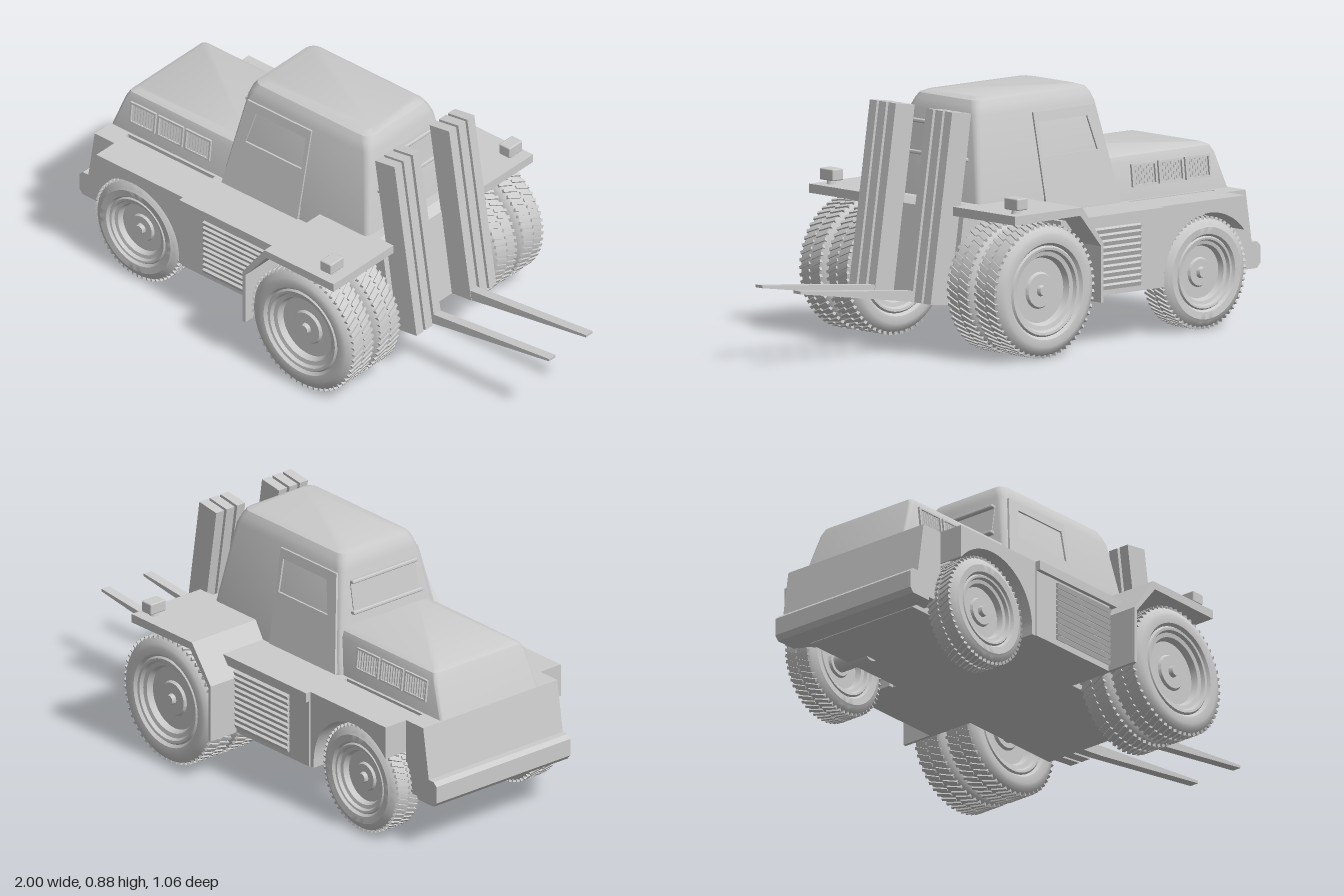
import * as THREE from 'three';
import { mergeGeometries, toCreasedNormals } from 'three/addons/utils/BufferGeometryUtils.js';
import { RoundedBoxGeometry } from 'three/addons/geometries/RoundedBoxGeometry.js';

const grey = new THREE.MeshStandardMaterial({ color: 0xcccccc, side: THREE.DoubleSide });

function mesh(name, geometry, parent) {
  const m = new THREE.Mesh(geometry, grey);
  m.name = name;
  parent.add(m);
  return m;
}

// box given by its limits
function box(x0, x1, y0, y1, z0, z1) {
  return new THREE.BoxGeometry(x1 - x0, y1 - y0, z1 - z0)
    .translate((x0 + x1) / 2, (y0 + y1) / 2, (z0 + z1) / 2);
}

function polygon(points) {
  return new THREE.Shape(points.map(([x, y]) => new THREE.Vector2(x, y)));
}

// side profile extruded from z0 to z1
function slab(shape, z0, z1) {
  return new THREE.ExtrudeGeometry(shape, { depth: z1 - z0, bevelEnabled: false, curveSegments: 24 })
    .translate(0, 0, z0);
}

// rounded rectangles [x0, x1, halfZ, radius, y] joined upwards into a closed shell
function loft(rings) {
  const pos = [], index = [], steps = 5, n = steps * 4;
  for (const [x0, x1, hz, r, y] of rings) {
    for (let k = 0; k < 4; k++) {
      const cx = k === 0 || k === 3 ? x1 - r : x0 + r;
      const cz = k < 2 ? hz - r : r - hz;
      for (let j = 0; j < steps; j++) {
        const a = (k + j / (steps - 1)) * Math.PI / 2;
        pos.push(cx + r * Math.cos(a), y, cz + r * Math.sin(a));
      }
    }
  }
  for (let i = 0; i < rings.length - 1; i++) {
    for (let j = 0; j < n; j++) {
      const a = i * n + j, b = i * n + (j + 1) % n;
      index.push(a, a + n, b, b, a + n, b + n);
    }
  }
  const top = (rings.length - 1) * n;
  for (let j = 1; j < n - 1; j++) {
    index.push(0, j, j + 1, top, top + j + 1, top + j);
  }
  const g = new THREE.BufferGeometry();
  g.setAttribute('position', new THREE.Float32BufferAttribute(pos, 3));
  g.setIndex(index);
  return toCreasedNormals(g, 0.55);
}

// leans a flat geometry onto a side wall running from (ya, za) to (yb, zb)
function lean(g, ya, za, yb, zb) {
  const p = g.attributes.position;
  for (let i = 0; i < p.count; i++) {
    p.setZ(i, p.getZ(i) + za + (zb - za) * (p.getY(i) - ya) / (yb - ya));
  }
  g.computeVertexNormals();
  return g;
}

// wheel with dished rim and two rows of slanted tread lugs, axle along z
function wheel(name, r, rim, w, x, z, parent) {
  const g = new THREE.Group();
  g.name = name;
  const h = w / 2;
  const half = [
    [0, 0.72 * h], [0.016, 0.72 * h], [0.02, 0.5 * h], [rim * 0.38, 0.5 * h], [rim * 0.42, 0.36 * h],
    [rim * 0.74, 0.36 * h], [rim * 0.8, 0.66 * h], [rim * 0.9, 0.7 * h], [rim * 0.94, 0.88 * h],
    [rim, 0.9 * h], [rim * 1.04, 0.8 * h], [rim * 1.1, 0.96 * h], [(rim + r) / 2, h],
    [r - 0.03, 0.93 * h], [r - 0.014, 0.8 * h], [r - 0.007, 0.66 * h],
  ];
  const profile = [...half.map(([a, b]) => [a, -b]), ...half.reverse()];
  const body = new THREE.LatheGeometry(profile.map(([a, b]) => new THREE.Vector2(a, b)), 56);
  mesh('tyreAndRim', toCreasedNormals(body.rotateX(Math.PI / 2), 0.6), g);
  const lugs = [];
  const count = 56;
  for (let i = 0; i < count; i++) {
    for (const s of [-1, 1]) {
      lugs.push(new THREE.BoxGeometry(0.011, 0.014, h * 0.78).rotateY(0.42)
        .translate(0, r - 0.008, s * h * 0.4).rotateZ((i + s * 0.25) / count * Math.PI * 2));
    }
  }
  mesh('tread', mergeGeometries(lugs), g);
  g.position.set(x, r, z);
  parent.add(g);
}

// everything that exists once on each side, built for +z
function buildSide(side) {
  // small wheel and its arched fender
  wheel('smallWheel', 0.2, 0.125, 0.13, -0.673, 0.325, side);
  const arch = polygon([[-0.44, 0.175], [-0.44, 0.46], [-0.84, 0.46], [-0.84, 0.34]]);
  arch.absarc(-0.673, 0.2, 0.215, Math.PI - 0.7, 0, true);
  arch.lineTo(-0.458, 0.175);
  mesh('smallWheelFender', slab(arch, 0.25, 0.405), side);

  // middle side box with louvred panel
  mesh('sideBox', box(-0.44, -0.05, 0.175, 0.46, 0.22, 0.41), side);
  mesh('sideBoxLid', box(-0.44, 0.05, 0.425, 0.46, 0.22, 0.425), side);
  const louvres = [];
  for (let i = 0; i < 10; i++) {
    louvres.push(new THREE.BoxGeometry(0.285, 0.016, 0.014).rotateX(0.4)
      .translate(-0.193, 0.205 + i * 0.0222, 0.413));
  }
  mesh('sideLouvres', mergeGeometries(louvres), side);

  // twin large wheels under a bent fender
  wheel('innerLargeWheel', 0.238, 0.155, 0.138, 0.2, 0.31, side);
  wheel('outerLargeWheel', 0.238, 0.155, 0.138, 0.2, 0.45, side);
  mesh('largeAxle', new THREE.CylinderGeometry(0.04, 0.04, 0.3, 20).rotateX(Math.PI / 2)
    .translate(0.2, 0.238, 0.3), side);
  mesh('smallAxle', new THREE.CylinderGeometry(0.035, 0.035, 0.2, 20).rotateX(Math.PI / 2)
    .translate(-0.673, 0.2, 0.25), side);
  mesh('largeWheelFender', slab(polygon([
    [-0.055, 0.175], [-0.043, 0.175], [-0.043, 0.375], [0.055, 0.492], [0.365, 0.488],
    [0.365, 0.52], [0.045, 0.52], [-0.055, 0.385],
  ]), 0.21, 0.53), side);

  // lamp on the fender
  mesh('lampStem', new THREE.CylinderGeometry(0.012, 0.018, 0.03, 12).translate(0.31, 0.53, 0.475), side);
  mesh('lamp', new RoundedBoxGeometry(0.05, 0.042, 0.07, 2, 0.005).translate(0.31, 0.555, 0.475), side);

  // hood grilles: three frames with vertical slats
  for (let i = 0; i < 3; i++) {
    const x0 = -0.845 + i * 0.127, x1 = x0 + 0.117;
    const frame = polygon([[x0, 0.505], [x1, 0.505], [x1, 0.585], [x0, 0.585]]);
    frame.holes.push(polygon([[x0 + 0.007, 0.512], [x0 + 0.007, 0.578], [x1 - 0.007, 0.578], [x1 - 0.007, 0.512]]));
    const slats = [];
    for (let j = 0; j < 8; j++) {
      slats.push(new THREE.BoxGeometry(0.007, 0.068, 0.006).rotateY(0.5)
        .translate(x0 + 0.014 + j * 0.0127, 0.545, 0.002));
    }
    mesh('hoodGrilleFrame', lean(slab(frame, -0.002, 0.008), 0.46, 0.225, 0.59, 0.21), side);
    mesh('hoodGrilleSlats', lean(mergeGeometries(slats), 0.46, 0.225, 0.59, 0.21), side);
  }

  // door with window opening
  const door = polygon([[-0.395, 0.465], [-0.045, 0.465], [-0.035, 0.81], [-0.33, 0.81]]);
  door.holes.push(polygon([[-0.315, 0.655], [-0.285, 0.775], [-0.055, 0.775], [-0.055, 0.655]]));
  mesh('door', lean(slab(door, -0.004, 0.007), 0.52, 0.235, 0.82, 0.18), side);

  // three leaning mast rails and a tapered fork
  const rail = polygon([[0.382, 0.175], [0.472, 0.185], [0.37, 0.853], [0.28, 0.84]]);
  for (const z of [0.078, 0.127, 0.175]) mesh('mastRail', slab(rail, z, z + 0.037), side);
  const fork = polygon([[0.45, 0.182], [1, 0.265], [1, 0.275], [0.46, 0.222]]);
  mesh('fork', slab(fork, 0.08, 0.115), side);
}

export function createModel() {
  const model = new THREE.Group();
  model.name = 'forkliftTruck';

  // central chassis, with the mast end leaning like the rails
  mesh('chassis', slab(polygon([
    [-0.9, 0.175], [0.383, 0.175], [0.335, 0.5], [0.3, 0.52], [-0.03, 0.52], [-0.08, 0.46], [-0.9, 0.46],
  ]), -0.235, 0.235), model);

  // tail block and bumper
  mesh('tailBlock', slab(polygon([
    [-0.955, 0.19], [-0.84, 0.19], [-0.84, 0.46], [-0.93, 0.46], [-0.96, 0.27],
  ]), -0.31, 0.31), model);
  mesh('tailBumper', slab(polygon([
    [-0.985, 0.178], [-0.9, 0.178], [-0.9, 0.272], [-0.985, 0.272], [-1, 0.258], [-1, 0.195],
  ]), -0.31, 0.31), model);

  // engine hood
  mesh('hood', loft([
    [-0.93, -0.35, 0.225, 0.012, 0.455], [-0.88, -0.35, 0.21, 0.014, 0.59],
    [-0.868, -0.35, 0.2, 0.016, 0.614], [-0.845, -0.35, 0.18, 0.016, 0.625],
  ]), model);

  // cab with rounded roof
  mesh('cab', loft([
    [-0.41, 0.277, 0.24, 0.02, 0.455], [-0.4, 0.265, 0.235, 0.02, 0.52],
    [-0.35, 0.225, 0.18, 0.03, 0.82], [-0.342, 0.214, 0.17, 0.035, 0.85],
    [-0.33, 0.203, 0.158, 0.035, 0.87], [-0.3, 0.18, 0.135, 0.03, 0.88],
  ]), model);

  // hooded windows at both ends of the cab
  for (const [name, x, tilt, dir] of [['frontWindow', 0.24, 0.132, 1], ['backWindow', -0.366, -0.165, -1]]) {
    const g = new THREE.Group();
    g.name = name;
    mesh('glass', new THREE.BoxGeometry(0.008, 0.1, 0.3), g);
    mesh('sill', new RoundedBoxGeometry(0.028, 0.014, 0.32, 2, 0.005).translate(dir * 0.004, -0.055, 0), g);
    mesh('visor', new RoundedBoxGeometry(0.028, 0.014, 0.3, 2, 0.005).translate(dir * 0.004, 0.055, 0), g);
    g.position.set(x, 0.722, 0);
    g.rotation.z = tilt;
    model.add(g);
  }

  // mirrored side parts
  for (const s of [1, -1]) {
    const side = new THREE.Group();
    side.name = s > 0 ? 'nearSide' : 'farSide';
    buildSide(side);
    side.scale.z = s;
    model.add(side);
  }
  return model;
}
